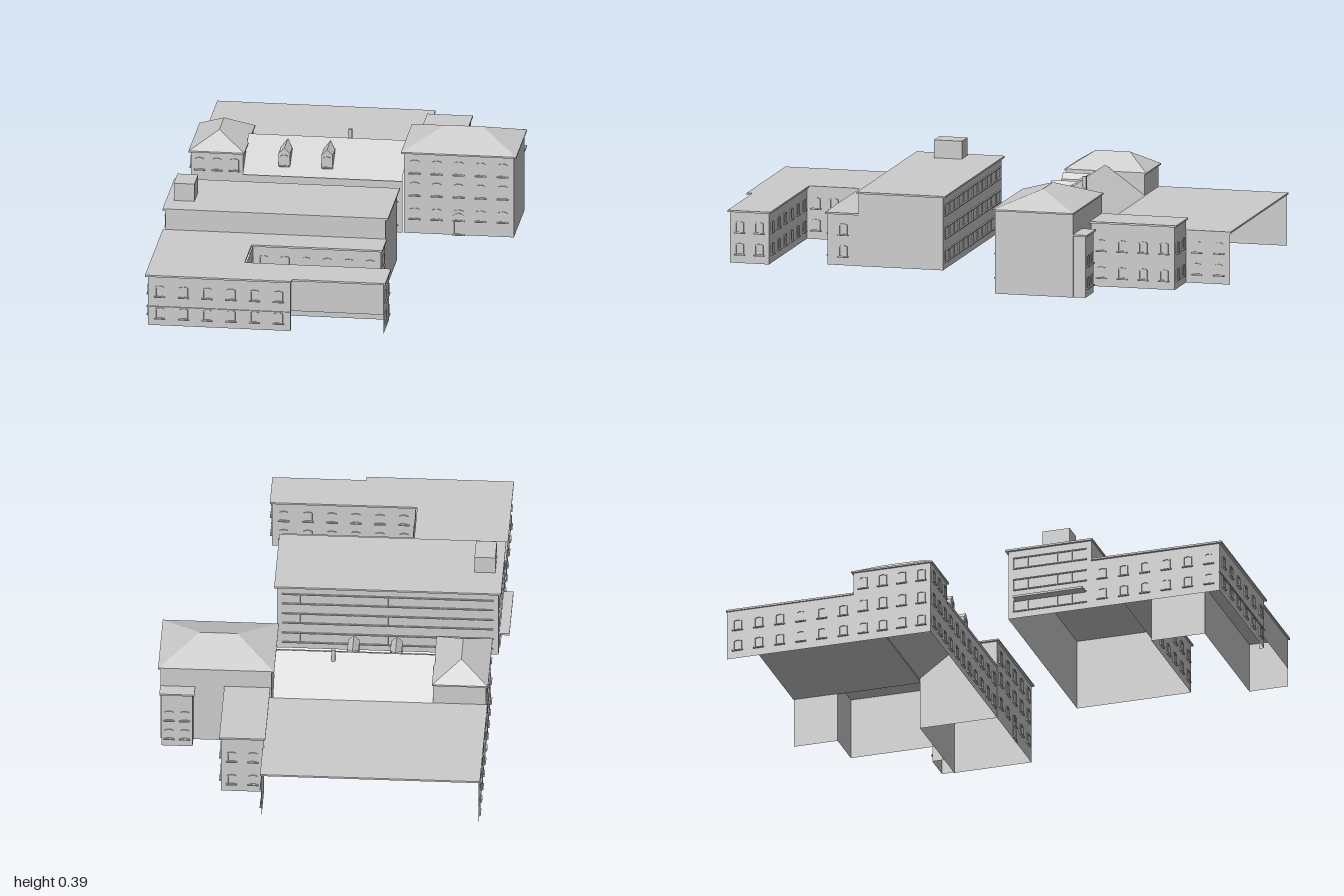
import * as THREE from 'three';
import { mergeGeometries } from 'three/addons/utils/BufferGeometryUtils.js';

const mat = new THREE.MeshStandardMaterial({ color: 0xcccccc, flatShading: true, side: THREE.DoubleSide });

export function createModel() {
  const model = new THREE.Group();
  const add = (name, geo, parent = model) => {
    const m = new THREE.Mesh(geo, mat);
    m.name = name;
    parent.add(m);
    return m;
  };
  const box = (x0, x1, y0, y1, z0, z1) =>
    new THREE.BoxGeometry(x1 - x0, y1 - y0, z1 - z0).translate((x0 + x1) / 2, (y0 + y1) / 2, (z0 + z1) / 2);

  // Flat convex faces, each a list of corners
  const faces = (...polys) => {
    const pos = [];
    for (const p of polys)
      for (let i = 1; i < p.length - 1; i++) pos.push(...p[0], ...p[i], ...p[i + 1]);
    const g = new THREE.BufferGeometry();
    g.setAttribute('position', new THREE.Float32BufferAttribute(pos, 3));
    g.computeVertexNormals();
    return g;
  };

  // Window: shallow arched frame with a sill
  const outline = (path, w, h) => {
    path.moveTo(-w / 2, -h / 2);
    path.lineTo(w / 2, -h / 2);
    path.lineTo(w / 2, h * 0.4);
    path.quadraticCurveTo(0, h * 0.6, -w / 2, h * 0.4);
    path.closePath();
    return path;
  };
  const windowGeo = (x, y, w, h) => {
    const s = outline(new THREE.Shape(), w, h);
    s.holes.push(outline(new THREE.Path(), w - 0.008, h - 0.008));
    const frame = new THREE.ExtrudeGeometry(s, { depth: 0.004, bevelEnabled: false, curveSegments: 4 });
    const sill = new THREE.BoxGeometry(w + 0.008, 0.004, 0.008).translate(0, -h / 2, 0.004).toNonIndexed();
    return mergeGeometries([frame, sill]).translate(x, y, 0);
  };

  // Wall from a to b (x, z), anticlockwise from above so that it faces outward.
  // rows: [centre height, window height]
  const wall = (name, a, b, y0, y1, cols = 0, rows = [], w = 0.034) => {
    const dx = b[0] - a[0], dz = b[1] - a[1], L = Math.hypot(dx, dz);
    const g = new THREE.Group();
    g.name = name;
    g.position.set(a[0], 0, a[1]);
    g.rotation.y = Math.atan2(-dz, dx);
    add(name + 'Panel', new THREE.PlaneGeometry(L, y1 - y0).translate(L / 2, (y0 + y1) / 2, 0), g);
    const wins = [];
    for (const [y, h] of rows)
      for (let i = 0; i < cols; i++) wins.push(windowGeo((i + 0.5) * L / cols, y, w, h));
    if (wins.length) add(name + 'Windows', mergeGeometries(wins), g);
    model.add(g);
    return { g, L };
  };

  // Wall with long ribbon windows on every floor
  const ribbonWall = (name, a, b, y1) => {
    const { g, L } = wall(name, a, b, 0, y1);
    for (const y of [0.05, 0.14, 0.23]) {
      for (const e of [-0.022, 0.022]) add('ribbonLedge', box(0.02, L - 0.02, y + e - 0.002, y + e + 0.002, 0, 0.006), g);
      const n = Math.round(L / 0.07);
      for (let i = 0; i <= n; i++) {
        const x = 0.02 + i * (L - 0.04) / n;
        add('ribbonMullion', box(x - 0.002, x + 0.002, y - 0.022, y + 0.022, 0, 0.004), g);
      }
    }
  };

  // Flat roof slab with its top at y
  const slab = (name, pts, y, t = 0.007) => {
    const s = new THREE.Shape(pts.map(p => new THREE.Vector2(...p)));
    add(name, new THREE.ExtrudeGeometry(s, { depth: t, bevelEnabled: false }).rotateX(Math.PI / 2).translate(0, y, 0));
  };
  const rect = (x0, x1, z0, z1) => [[x0, z0], [x1, z0], [x1, z1], [x0, z1]];

  // Hip roof over a rectangle with ridge ends r and s (x, z)
  const hip = (name, x0, x1, z0, z1, y0, y1, r, s) => {
    const A = [x0, y0, z0], B = [x1, y0, z0], C = [x1, y0, z1], D = [x0, y0, z1];
    const R = [r[0], y1, r[1]], S = [s[0], y1, s[1]];
    add(name, r[0] === s[0]
      ? faces([A, R, B], [B, R, S, C], [C, S, D], [D, S, R, A])
      : faces([A, R, S, B], [B, S, C], [C, S, R, D], [D, R, A]));
    slab(name + 'Eave', rect(x0, x1, z0, z1), y0 + 0.001, 0.006);
  };

  const two = [[0.055, 0.045], [0.14, 0.045]];
  const three = [[0.055, 0.045], [0.15, 0.05], [0.245, 0.05]];

  // ---- Front building: tall block ----
  ribbonWall('tallBlockBack', [0.23, 0.14], [-0.62, 0.14], 0.285);
  ribbonWall('tallBlockLeftEnd', [-0.62, 0.14], [-0.62, 0.475], 0.285);
  wall('tallBlockRightEnd', [0.23, 0.475], [0.23, 0.14], 0, 0.285);
  wall('tallBlockClerestory', [-0.62, 0.475], [0.23, 0.475], 0.2, 0.285);
  slab('tallBlockRoof', rect(-0.63, 0.24, 0.13, 0.48), 0.29);
  add('roofHouse', box(-0.6, -0.52, 0.285, 0.36, 0.27, 0.38));
  add('entranceCanopy', box(-0.66, -0.62, 0.07, 0.078, 0.17, 0.45));

  // ---- Front building: low wings round a courtyard ----
  wall('lowFront', [-0.62, 0.99], [-0.07, 0.99], 0, 0.2, 6, [[0.05, 0.045], [0.138, 0.045]]);
  wall('bridgeStep', [-0.07, 0.99], [-0.07, 0.97], 0, 0.2);
  wall('bridgeFront', [-0.07, 0.97], [0.288, 0.97], 0.075, 0.2);
  wall('frontWingEnd', [0.288, 0.97], [0.288, 0.815], 0, 0.2, 2, two);
  wall('frontWingCourt', [0.288, 0.815], [-0.265, 0.815], 0, 0.2, 6, two);
  wall('courtLeft', [-0.265, 0.815], [-0.265, 0.6], 0, 0.2, 3, two);
  wall('courtBack', [-0.265, 0.6], [0.228, 0.6], 0, 0.2, 6, two);
  wall('backWingEnd', [0.228, 0.6], [0.228, 0.475], 0, 0.2, 1, two);
  wall('lowLeft', [-0.62, 0.475], [-0.62, 0.99], 0, 0.2, 6, two);
  add('stringCourse', box(-0.625, -0.07, 0.073, 0.077, 0.988, 0.995));
  slab('lowRoof', [[-0.63, 0.475], [0.235, 0.475], [0.235, 0.607], [-0.27, 0.607], [-0.27, 0.808],
    [0.295, 0.808], [0.295, 0.977], [-0.065, 0.977], [-0.065, 1], [-0.63, 1]], 0.205);

  // ---- Rear building: left pavilion ----
  wall('leftPavilionFront', [-0.607, -0.177], [-0.405, -0.177], 0, 0.295, 3, three);
  wall('leftPavilionSide', [-0.607, -0.487], [-0.607, -0.177], 0, 0.295, 4, three);
  wall('leftPavilionInner', [-0.405, -0.177], [-0.405, -0.487], 0.2, 0.295);
  wall('leftPavilionBack', [-0.405, -0.487], [-0.607, -0.487], 0.2, 0.295);
  hip('leftPavilionRoof', -0.615, -0.4, -0.495, -0.17, 0.295, 0.355, [-0.508, -0.4], [-0.508, -0.265]);

  // ---- Rear building: middle range with gable roof ----
  wall('middleFront', [-0.405, -0.177], [0.21, -0.177], 0, 0.21, 8, [[0.055, 0.05], [0.15, 0.05]]);
  add('middleRoof', faces(
    [[-0.405, 0.21, -0.168], [0.21, 0.21, -0.168], [0.21, 0.32, -0.33], [-0.405, 0.32, -0.33]],
    [[-0.405, 0.32, -0.33], [0.21, 0.32, -0.33], [0.21, 0.205, -0.49], [-0.405, 0.205, -0.49]]));
  add('chimney', box(-0.022, -0.008, 0.29, 0.347, -0.362, -0.348));
  for (const x of [-0.25, -0.085]) {
    const w = 0.022, f = -0.205, b = -0.272, e = 0.29, p = 0.312;
    add('dormer', faces(
      [[x - w, 0.225, f], [x + w, 0.225, f], [x + w, e, f], [x, p, f], [x - w, e, f]],
      [[x - w, 0.225, f], [x - w, e, f], [x - w, e, -0.29]],
      [[x + w, 0.225, f], [x + w, e, -0.29], [x + w, e, f]],
      [[x - w, e, f], [x, p, f], [x, p, -0.315], [x - w, e, b]],
      [[x, p, f], [x + w, e, f], [x + w, e, b], [x, p, -0.315]]));
    add('dormerWindow', windowGeo(x, 0.262, 0.028, 0.045).translate(0, 0, f));
  }

  // ---- Rear building: right pavilion ----
  const tallRows = [[0.08, 0.045], [0.18, 0.055], [0.27, 0.055]];
  wall('rightPavilionFront', [0.215, -0.177], [0.64, -0.177], 0, 0.325, 5, tallRows, 0.037);
  wall('rightPavilionSide', [0.64, -0.177], [0.64, -0.487], 0, 0.325);
  wall('rightPavilionBack', [0.64, -0.487], [0.215, -0.487], 0, 0.325);
  wall('rightPavilionInner', [0.215, -0.487], [0.215, -0.177], 0, 0.325);
  add('frontDoor', windowGeo(0.427, 0.045, 0.042, 0.088).translate(0, 0, -0.177));
  hip('rightPavilionRoof', 0.205, 0.65, -0.49, -0.168, 0.328, 0.39, [0.355, -0.33], [0.5, -0.33]);
  wall('rearBaySide', [0.635, -0.487], [0.635, -0.535], 0, 0.24);
  wall('rearBayBack', [0.635, -0.535], [0.515, -0.535], 0, 0.24, 2, two);
  wall('rearBayInner', [0.515, -0.535], [0.515, -0.487], 0, 0.24);
  slab('rearBayRoof', rect(0.508, 0.642, -0.543, -0.487), 0.245);

  // ---- Rear building: side annexe and large flat-roofed hall, open at the back ----
  wall('annexeSide', [0.39, -0.49], [0.39, -0.822], 0, 0.248, 4, [[0.055, 0.045], [0.16, 0.045]]);
  wall('annexeBack', [0.39, -0.822], [0.225, -0.822], 0, 0.248, 2, [[0.055, 0.045], [0.16, 0.045]]);
  slab('annexeRoof', rect(0.22, 0.396, -0.83, -0.487), 0.252);
  wall('hallRight', [0.225, -0.822], [0.225, -0.997], 0, 0.202, 2, two);
  wall('hallLeft', [-0.607, -0.997], [-0.607, -0.487], 0, 0.202, 6, two);
  slab('hallRoof', rect(-0.613, 0.23, -1, -0.487), 0.206);

  return model;
}
